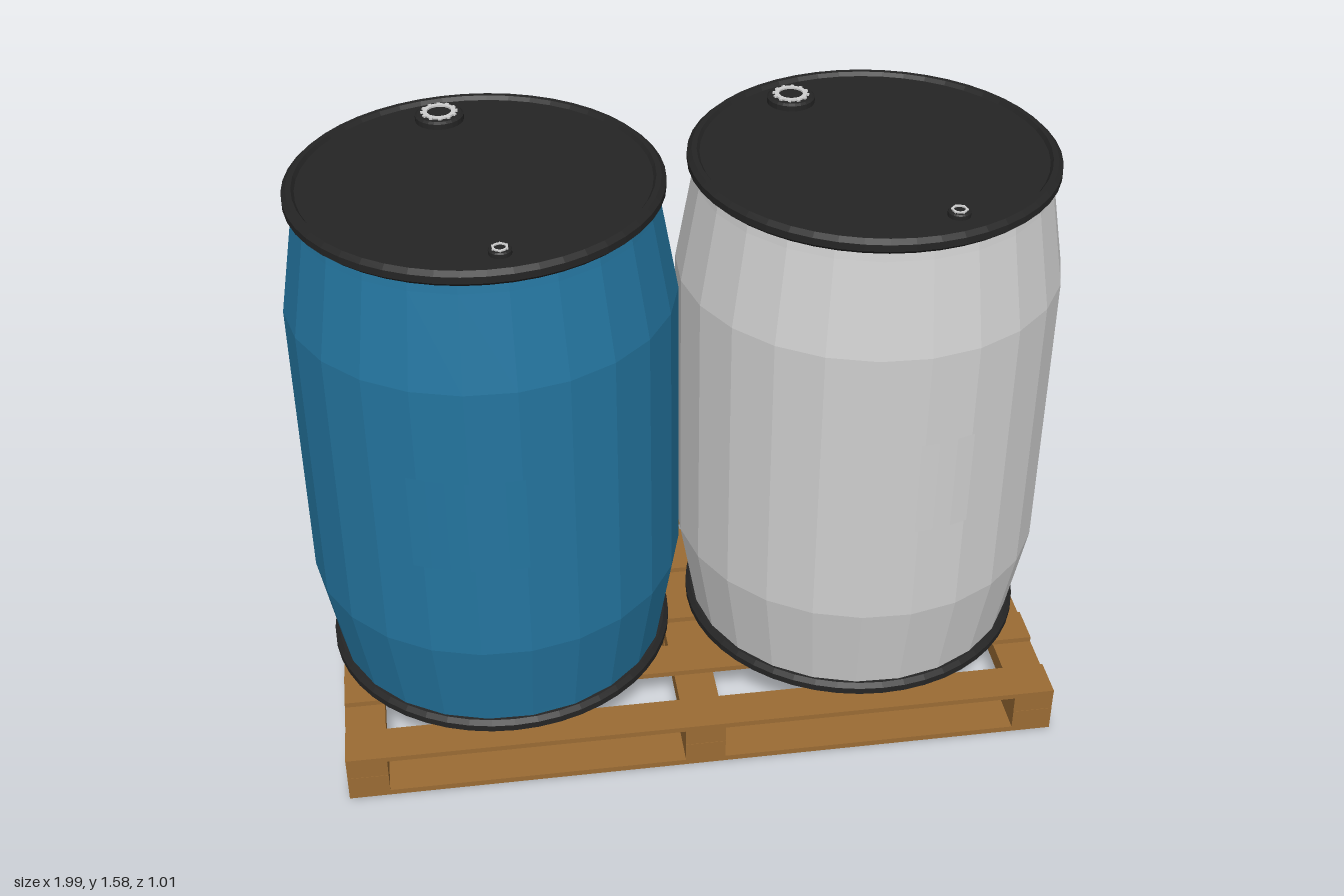
import * as THREE from 'three';

const rad = THREE.MathUtils.degToRad;
const mat = (name, color, extra = {}) => {
  const m = new THREE.MeshStandardMaterial({ color, ...extra });
  m.name = name;
  return m;
};

function add(parent, name, geometry, material, x = 0, y = 0, z = 0) {
  const mesh = new THREE.Mesh(geometry, material);
  mesh.name = name;
  mesh.position.set(x, y, z);
  parent.add(mesh);
  return mesh;
}

const lathe = (points, sides, phase = 0) =>
  new THREE.LatheGeometry(points.map(([r, y]) => new THREE.Vector2(r, y)), sides, phase);

// Screw plug: dark flange with a notched pale ring around a dark socket
function plug(name, radius, height, teeth, dark, pale) {
  const g = new THREE.Group();
  g.name = name;
  add(g, 'plugFlange', lathe([[radius, 0], [radius, height * 0.6], [radius * 0.9, height * 0.8],
    [0, height * 0.8]], 24), dark);
  add(g, 'plugRing', lathe([[radius * 0.68, 0], [radius * 0.68, height], [radius * 0.5, height],
    [radius * 0.5, height * 0.5]], 24), pale);
  for (let i = 0; i < teeth; i++) {
    const a = (i / teeth) * Math.PI * 2;
    const tooth = add(g, 'plugTooth', new THREE.BoxGeometry(radius * 0.14, height, radius * 0.12), pale,
      Math.sin(a) * radius * 0.7, height / 2, Math.cos(a) * radius * 0.7);
    tooth.rotation.y = a;
  }
  return g;
}

function barrel(name, paint, dark, pale) {
  const g = new THREE.Group();
  g.name = name;

  // Faceted shell, straight in the middle and tapered to both ends
  add(g, 'shell', lathe([[0.448, 0.16], [0.455, 0.2], [0.499, 0.45], [0.499, 1.25], [0.455, 1.5],
    [0.448, 1.55]], 24, rad(-8.8)), paint);

  // Raised panel on the front of the shell
  add(g, 'panel', new THREE.CylinderGeometry(0.5, 0.5, 0.27, 6, 1, true, rad(-27), rad(34)), paint, 0, 0.86, 0);

  // Rims at both ends
  const rim = lathe([[0.44, -0.02], [0.458, -0.02], [0.47, -0.009], [0.47, 0.009], [0.458, 0.02],
    [0.445, 0.02], [0.438, 0.01], [0.438, -0.02], [0.44, -0.02]], 48);
  add(g, 'bottomRim', rim, dark, 0, 0.165, 0);
  add(g, 'topRim', rim, dark, 0, 1.545, 0);

  // Recessed lid and base
  add(g, 'lid', new THREE.CylinderGeometry(0.445, 0.445, 0.02, 48), dark, 0, 1.545, 0);
  add(g, 'base', new THREE.CylinderGeometry(0.445, 0.445, 0.02, 48), dark, 0, 0.163, 0);

  const large = plug('largePlug', 0.063, 0.024, 12, dark, pale);
  large.position.set(-0.07, 1.555, -0.34);
  const small = plug('smallPlug', 0.028, 0.018, 6, dark, pale);
  small.position.set(0.036, 1.555, 0.37);
  g.add(large, small);
  return g;
}

function pallet(wood) {
  const g = new THREE.Group();
  g.name = 'pallet';
  const box = (name, w, h, d, x, y, z) => add(g, name, new THREE.BoxGeometry(w, h, d), wood, x, y, z);
  const mid = 0.008;
  const xs = [-0.898, 0.006, 0.914];
  const length = 1.92;

  // Deck boards
  for (const z of [-0.448, -0.224, 0, 0.224, 0.448]) box('deckBoard', length, 0.015, 0.11, mid, 0.1275, z);
  // Cross bearers
  for (const x of xs) box('crossBearer', 0.108, 0.05, 1.004, x, 0.095, 0);
  // Blocks and bottom runners
  for (const z of [-0.448, 0, 0.448]) {
    box('runner', length, 0.016, 0.11, mid, 0.008, z);
    for (const x of xs) box('block', 0.108, 0.055, 0.11, x, 0.0435, z);
  }
  return g;
}

export function createModel() {
  const blue = mat('barrel blue', 0x24759f, { flatShading: true });
  const grey = mat('barrel grey', 0xcfcfcf, { flatShading: true });
  const dark = mat('rim black', 0x252525, { flatShading: true });
  const wood = mat('pallet wood', 0x9b6c34, { flatShading: true });

  const model = new THREE.Group();
  model.name = 'barrelsOnPallet';
  model.add(pallet(wood));

  const blueBarrel = barrel('blueBarrel', blue, dark, grey);
  blueBarrel.position.x = -0.501;
  const greyBarrel = barrel('greyBarrel', grey, dark, grey);
  greyBarrel.position.set(0.499, 0, -0.003);
  greyBarrel.rotation.y = rad(14.5);
  model.add(blueBarrel, greyBarrel);
  return model;
}
